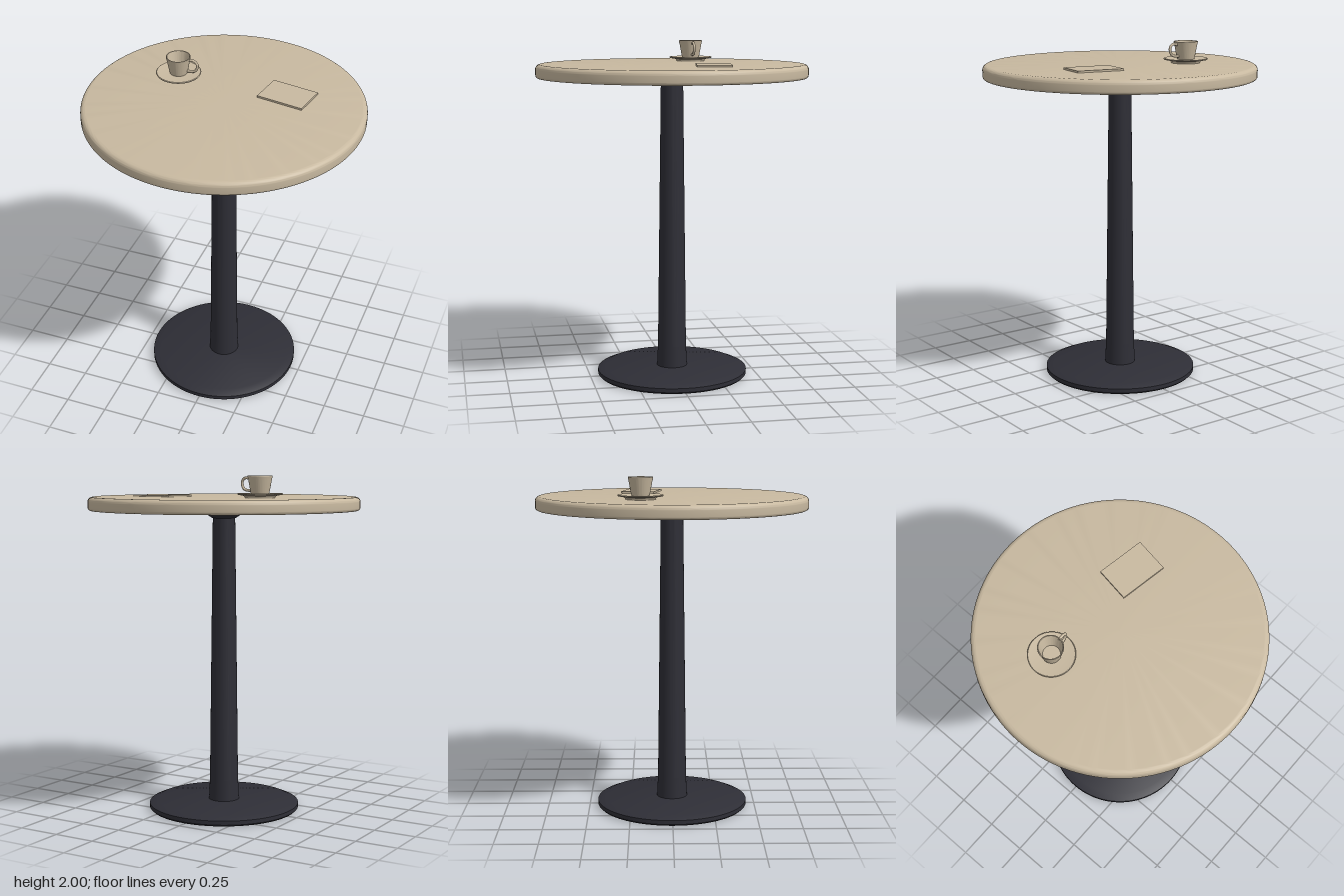
import * as THREE from 'three';
import { toCreasedNormals } from 'three/addons/utils/BufferGeometryUtils.js';

const cream = new THREE.MeshStandardMaterial({ color: 0xc8b9a0 });
cream.name = 'cream';
const charcoal = new THREE.MeshStandardMaterial({ color: 0x2e2e36 });
charcoal.name = 'charcoal';

// Turned part from [radius, height] pairs, listed from the bottom up
function turned(name, points, material, segments = 64) {
  const profile = points.map(([r, y]) => new THREE.Vector2(r, y));
  const geometry = toCreasedNormals(new THREE.LatheGeometry(profile, segments), 0.5);
  const mesh = new THREE.Mesh(geometry, material);
  mesh.name = name;
  return mesh;
}

// Quarter-round edge: points from angle a0 to a1 about (r, y)
function arc(r, y, rx, ry, a0, a1, steps = 6) {
  return Array.from({ length: steps + 1 }, (_, i) => {
    const a = a0 + (a1 - a0) * i / steps;
    return [r + rx * Math.cos(a), y + ry * Math.sin(a)];
  });
}

export function createModel() {
  const model = new THREE.Group();
  model.name = 'cafeTable';
  const quarter = Math.PI / 2;

  // Pedestal: chamfered foot, tapered column, flared collar
  model.add(turned('basePlate', [
    [0, 0], [0.44, 0], [0.45, 0.01], [0.45, 0.034], [0.405, 0.053], [0, 0.053],
  ], charcoal, 96));
  model.add(turned('column', [
    [0.091, 0.05], [0.085, 0.18], [0.066, 1.76],
  ], charcoal, 48));
  model.add(turned('collar', [
    [0, 1.75], [0.07, 1.75], [0.13, 1.79], [0.13, 1.8], [0, 1.8],
  ], charcoal, 48));

  // Round top with softened edges
  model.add(turned('tabletop', [
    [0, 1.796],
    ...arc(0.785, 1.812, 0.015, 0.016, -quarter, 0),
    ...arc(0.77, 1.847, 0.03, 0.028, 0, quarter, 8),
    [0, 1.875],
  ], cream, 128));

  // Cup on its saucer
  const cupSet = new THREE.Group();
  cupSet.name = 'cupAndSaucer';
  cupSet.position.set(-0.345, 1.875, -0.18);
  cupSet.add(turned('saucer', [
    [0, 0], [0.085, 0], [0.09, 0.012], [0.127, 0.019], [0.13, 0.024],
    [0.126, 0.027], [0.085, 0.022], [0, 0.022],
  ], cream));
  cupSet.add(turned('cup', [
    [0, 0.02], [0.05, 0.02], [0.054, 0.035], [0.067, 0.105], [0.071, 0.122],
    [0.07, 0.125], [0.065, 0.125], [0.06, 0.105], [0.047, 0.034], [0, 0.034],
  ], cream));
  const handleCurve = new THREE.CatmullRomCurve3([
    [0.062, 0.108], [0.095, 0.112], [0.114, 0.095],
    [0.115, 0.072], [0.1, 0.048], [0.054, 0.04],
  ].map(([x, y]) => new THREE.Vector3(x, y, 0)));
  const handle = new THREE.Mesh(new THREE.TubeGeometry(handleCurve, 32, 0.008, 10), cream);
  handle.name = 'cupHandle';
  cupSet.add(handle);
  model.add(cupSet);

  // Folded napkin lying slightly askew
  const napkin = new THREE.Mesh(new THREE.BoxGeometry(0.28, 0.012, 0.2), cream);
  napkin.name = 'napkin';
  napkin.position.set(0.312, 1.88, -0.183);
  napkin.rotation.y = -0.17;
  model.add(napkin);

  return model;
}
